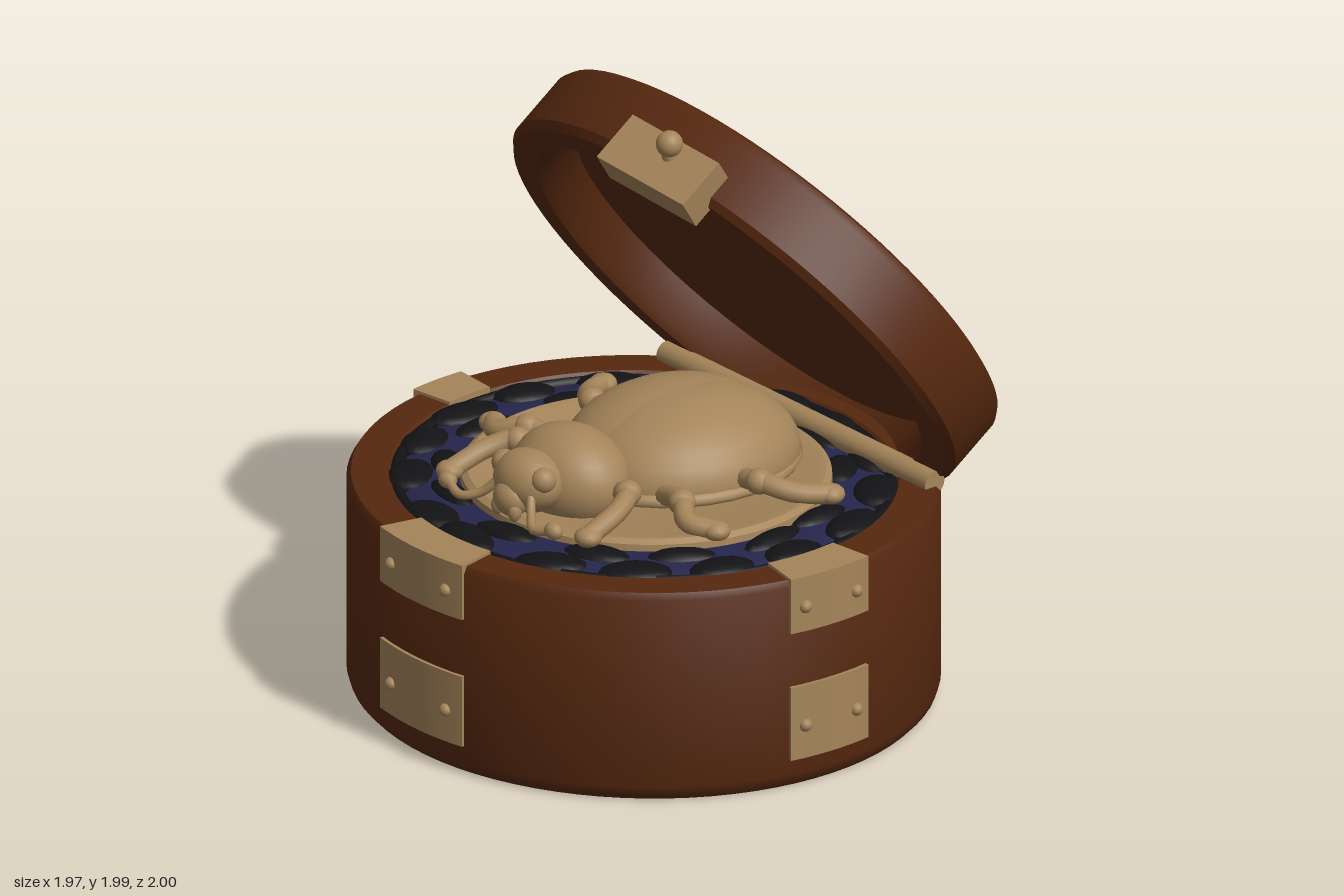
import * as THREE from 'three';
import { toCreasedNormals } from 'three/addons/utils/BufferGeometryUtils.js';

const material = (name, color) => {
  const m = new THREE.MeshStandardMaterial({ color });
  m.name = name;
  return m;
};

export function createModel() {
  const wood = material('brown wood', 0x56280f);
  const brass = material('aged brass', 0xa5855a);
  const navy = material('navy velvet', 0x25254c);
  const black = material('black velvet', 0x131316);

  const model = new THREE.Group();
  model.name = 'beetleBox';
  const RX = 0.955, RZ = 0.92, CZ = 0.06; // oval of the box

  const add = (parent, name, geometry, mat, x = 0, y = 0, z = 0) => {
    const mesh = new THREE.Mesh(geometry, mat);
    mesh.name = name;
    mesh.position.set(x, y, z);
    parent.add(mesh);
    return mesh;
  };
  const ball = (parent, name, mat, [x, y, z], [sx, sy, sz], detail = 24) =>
    add(parent, name, new THREE.SphereGeometry(1, detail, detail / 2).scale(sx, sy, sz), mat, x, y, z);
  // Oval turned shape with crisp edges
  const turned = (points, sx, sz) => toCreasedNormals(
    new THREE.LatheGeometry(points.map(p => new THREE.Vector2(...p)), 80).scale(sx, 1, sz), 0.6);
  const tube = (points, radius) => new THREE.TubeGeometry(
    new THREE.CatmullRomCurve3(points.map(p => new THREE.Vector3(...p))), 24, radius, 10);

  // Box body, hollow at the top
  add(model, 'boxBody', turned([[0, 0.015], [0.97, 0], [0.99, 0.02], [1, 0.05], [1, 0.69], [0.985, 0.712],
    [0.86, 0.712], [0.85, 0.7], [0.845, 0.55], [0, 0.55]], RX, RZ), wood, 0, 0, CZ);

  // Velvet cushion with dark tufts
  add(model, 'cushion', turned([[0.86, 0.6], [0.86, 0.66], [0.8, 0.7], [0.7, 0.705], [0, 0.69]], RX, RZ),
    navy, 0, 0, CZ);
  const tufts = new THREE.Group();
  tufts.name = 'cushionTufts';
  model.add(tufts);
  let seed = 7;
  const rand = () => (seed = (seed * 16807) % 2147483647) / 2147483647;
  for (const [count, ring, width] of [[17, 0.785, 0.066], [13, 0.665, 0.05]]) {
    for (let i = 0; i < count; i++) {
      const a = (i + 0.3 * rand()) / count * Math.PI * 2;
      const tuft = ball(tufts, 'tuft', black,
        [Math.sin(a) * ring * RX, 0.695, CZ + Math.cos(a) * ring * RZ],
        [0.105 + 0.03 * rand(), 0.032, width + 0.015 * rand()], 16);
      tuft.rotation.y = a + (rand() - 0.5) * 0.6;
    }
  }
  add(model, 'cushionEdge', new THREE.TorusGeometry(0.835, 0.025, 8, 80).rotateX(Math.PI / 2).scale(RX, 1, RZ),
    black, 0, 0.685, CZ);

  // Curved plate following the box wall, between two angles (0 = front, + = left)
  const curvedPlate = (name, a0, a1, y0, y1, inner, outer) => {
    const at = (a, k) => new THREE.Vector2(Math.sin(a) * RX * k, -Math.cos(a) * RZ * k);
    const points = [], n = 12;
    for (let i = 0; i <= n; i++) points.push(at(a0 + (a1 - a0) * i / n, outer));
    for (let i = n; i >= 0; i--) points.push(at(a0 + (a1 - a0) * i / n, inner));
    const g = new THREE.ExtrudeGeometry(new THREE.Shape(points), { depth: y1 - y0, bevelEnabled: false });
    add(model, name, toCreasedNormals(g.rotateX(-Math.PI / 2), 0.6), brass, 0, y0, CZ);
  };
  const wallPlate = (name, a0, a1, y0, y1, rivets = true) => {
    curvedPlate(name, a0, a1, y0, y1, 0.99, 1.012);
    if (!rivets) return;
    for (const t of [0.17, 0.83]) {
      const a = a0 + (a1 - a0) * t;
      ball(model, 'rivet', brass, [Math.sin(a) * RX * 1.01, y0 + (y1 - y0) * 0.45, CZ + Math.cos(a) * RZ * 1.01],
        [0.022, 0.022, 0.022], 12);
    }
  };
  const H = Math.PI / 2;
  const cornerPlates = [
    ['front', -0.21, 0.21, 0.1, 0.34],
    ['left', H - 0.2, H + 0.13, 0.1, 0.35],
  ];
  for (const [side, a0, a1, y0, y1] of cornerPlates) {
    wallPlate(side + 'LowerPlate', a0, a1, y0, y1);
    wallPlate(side + 'UpperPlate', a0, a1, 0.535, 0.722);
    curvedPlate(side + 'RimPlate', a0, a1, 0.7, 0.722, 0.852, 1.012);
  }
  wallPlate('rightLowerPlate', -H + 0.03, -H + 0.6, 0.04, 0.35);
  wallPlate('rightUpperPlate', -H - 0.06, -H + 0.16, 0.54, 0.722);
  curvedPlate('rightRimPlate', -H - 0.06, -H + 0.16, 0.7, 0.722, 0.852, 1.012);
  wallPlate('rightSmallPlate', -H + 0.42, -H + 0.6, 0.55, 0.65, false);

  // Back plate with a turned knob
  wallPlate('backPlate', Math.PI - 0.31, Math.PI + 0.28, 0.11, 0.39);
  add(model, 'backKnobStem', new THREE.CylinderGeometry(0.02, 0.028, 0.12, 16).rotateX(H), brass, 0.07, 0.18, -0.9);
  ball(model, 'backKnob', brass, [0.07, 0.18, -0.955], [0.042, 0.042, 0.038]);

  // Open lid: local y points out of its top, local z to its free edge
  const lid = new THREE.Group();
  lid.name = 'lid';
  lid.position.set(0, 1.19, -0.29);
  lid.rotation.x = -0.963;
  model.add(lid);
  add(lid, 'lidShell', turned([[0, 0.15], [0.83, 0.15], [0.85, 0.03], [0.87, 0], [0.975, 0], [1, 0.025],
    [1, 0.225], [0.985, 0.25], [0.955, 0.262], [0, 0.265]], 0.935, 0.81), wood);
  add(lid, 'lidMedallion', turned([[1, 0.255], [1, 0.27], [0.8, 0.278], [0.4, 0.284], [0, 0.286]], 0.58, 0.48), brass);
  const latch = add(lid, 'lidLatch', new THREE.BoxGeometry(0.39, 0.18, 0.12), brass, 0.2, 0.02, 0.785);
  latch.rotation.y = 0.14;
  add(lid, 'latchKnobStem', new THREE.CylinderGeometry(0.022, 0.03, 0.1, 16).rotateX(H - 0.4), brass, 0.23, 0.055, 0.84);
  ball(lid, 'latchKnob', brass, [0.23, 0.075, 0.872], [0.043, 0.043, 0.043]);
  ball(lid, 'hingeStud', brass, [0.1, 0.12, -0.805], [0.075, 0.055, 0.012]);

  // Hinge bar along the foot of the lid
  add(model, 'hingeBar', new THREE.CylinderGeometry(0.04, 0.04, 1.32, 16).rotateZ(H), brass, 0, 0.725, -0.58);

  // Beetle on its oval dish
  const beetle = new THREE.Group();
  beetle.name = 'beetle';
  model.add(beetle);
  add(beetle, 'dish', turned([[0.6, 0.68], [0.595, 0.725], [0.575, 0.738], [0.54, 0.735], [0.5, 0.722], [0, 0.722]], 1, 0.97),
    brass, 0, 0, 0.05);
  ball(beetle, 'abdomen', brass, [0, 0.735, -0.08], [0.37, 0.07, 0.41], 32);
  ball(beetle, 'thorax', brass, [0, 0.795, 0.36], [0.215, 0.165, 0.17], 32);
  ball(beetle, 'head', brass, [0, 0.825, 0.53], [0.13, 0.1, 0.1]);
  ball(beetle, 'snout', brass, [0, 0.785, 0.6], [0.065, 0.06, 0.055]);
  for (const s of [-1, 1]) {
    const mirror = points => points.map(([x, y, z]) => [x * s, y, z]);
    ball(beetle, 'wingCase', brass, [0.03 * s, 0.745, -0.09], [0.325, 0.222, 0.385], 32);
    ball(beetle, 'eye', brass, [0.095 * s, 0.86, 0.55], [0.042, 0.042, 0.042], 16);
    ball(beetle, 'mandible', brass, [0.04 * s, 0.755, 0.62], [0.022, 0.035, 0.025], 12);
    const legs = {
      frontLeg: [[0.15, 0.77, 0.32], [0.27, 0.82, 0.35], [0.32, 0.8, 0.43], [0.34, 0.755, 0.57]],
      middleLeg: [[0.25, 0.76, 0.18], [0.38, 0.79, 0.22], [0.47, 0.765, 0.27], [0.55, 0.75, 0.22]],
      hindLeg: [[0.28, 0.76, -0.08], [0.41, 0.79, -0.07], [0.51, 0.765, -0.14], [0.56, 0.75, -0.24]],
    };
    for (const [name, path] of Object.entries(legs)) {
      const points = mirror(path);
      add(beetle, name, tube(points, 0.034), brass);
      ball(beetle, name + 'Knee', brass, points[1], [0.045, 0.042, 0.045], 16);
      ball(beetle, name + 'Foot', brass, points[3], [0.045, 0.032, 0.045], 16);
    }
    const feeler = mirror([[0.07, 0.83, 0.58], [0.12, 0.77, 0.62], [0.18, 0.75, 0.66], [0.26, 0.77, 0.645]]);
    add(beetle, 'antenna', tube(feeler, 0.015), brass);
    ball(beetle, 'antennaTip', brass, feeler[3], [0.034, 0.028, 0.028], 16);
  }
  return model;
}
